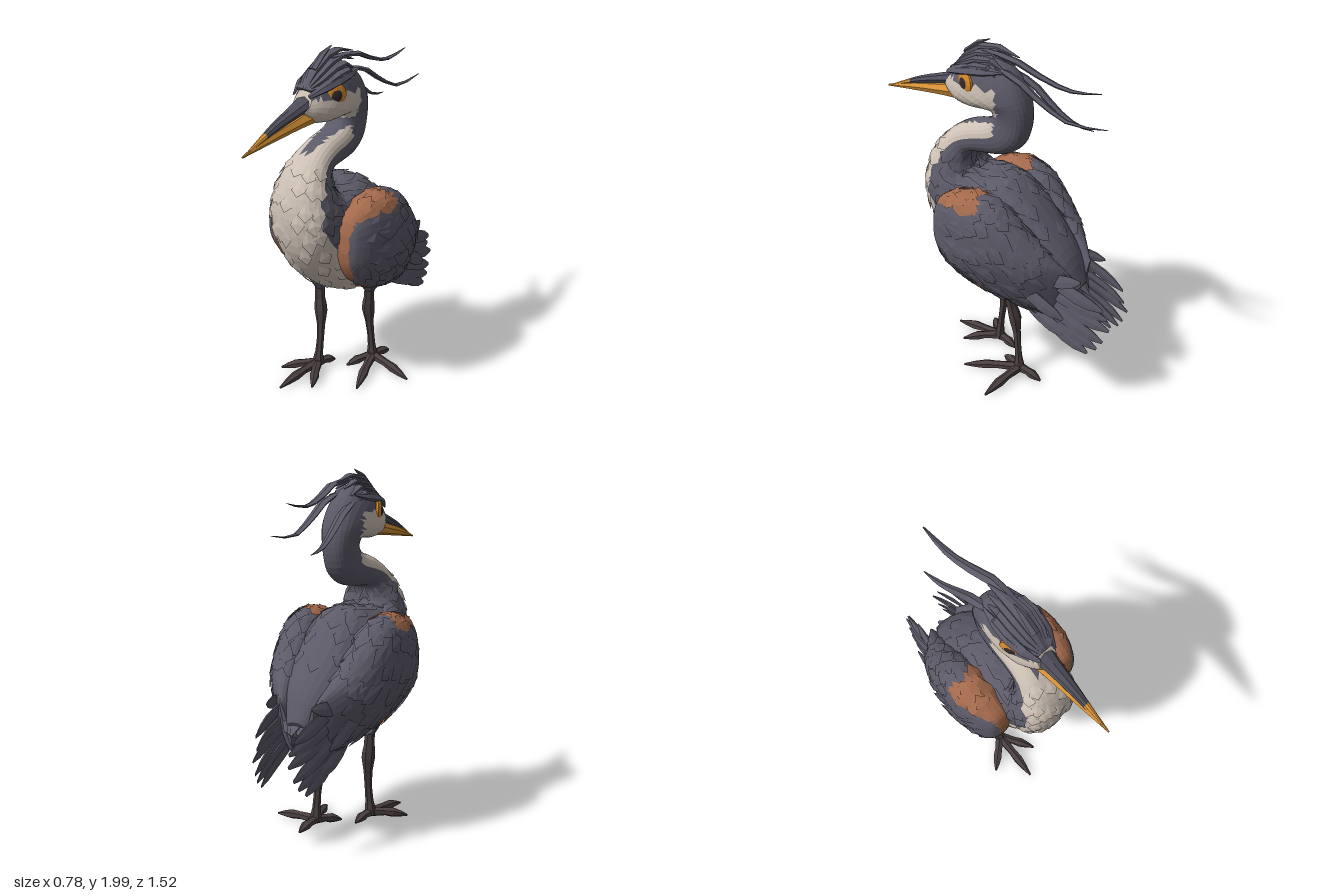
import * as THREE from 'three';

const V = (x, y, z) => new THREE.Vector3(x, y, z);
const TAU = Math.PI * 2;

const paint = (name, color) => {
  const m = new THREE.MeshStandardMaterial({ color, flatShading: true, side: THREE.DoubleSide });
  m.name = name;
  return m;
};

// Small repeatable variation in the range -1 to 1.
const vary = (i, j) => Math.sin(i * 12.9 + j * 78.2 + i * j * 3.7);

// Each part collects triangles per colour, then becomes a named group.
function tri(part, colour, ...pts) {
  (part[colour] ??= []).push(...pts.flatMap(p => [p.x, p.y, p.z]));
}

function finish(part, name, mats) {
  const group = new THREE.Group();
  group.name = name;
  for (const [colour, data] of Object.entries(part)) {
    const geo = new THREE.BufferGeometry();
    geo.setAttribute('position', new THREE.Float32BufferAttribute(data, 3));
    geo.computeVertexNormals();
    const mesh = new THREE.Mesh(geo, mats[colour]);
    mesh.name = `${name} ${colour}`;
    group.add(mesh);
  }
  return group;
}

// Closed skin over rings of points; pick(centre, cosAngle) gives the colour.
function skin(part, rings, pick) {
  const n = rings[0].length;
  const mid = pts => pts.reduce((s, p) => s.add(p), V(0, 0, 0)).divideScalar(pts.length);
  for (let i = 0; i < rings.length - 1; i++) for (let j = 0; j < n; j++) {
    const k = (j + 1) % n, a = rings[i][j], b = rings[i][k], c = rings[i + 1][k], d = rings[i + 1][j];
    const cos = Math.cos(TAU * (j + 0.5) / n);
    tri(part, pick(mid([a, b, c]), cos), a, b, c);
    tri(part, pick(mid([a, c, d]), cos), a, c, d);
  }
  const first = rings[0], last = rings[rings.length - 1], m0 = mid(first), m1 = mid(last);
  for (let j = 0; j < n; j++) {
    const k = (j + 1) % n;
    tri(part, pick(m0, 0), m0, first[k], first[j]);
    tri(part, pick(m1, 0), m1, last[j], last[k]);
  }
}

// Surface through sections [z, y of one edge, z, y of other edge, half width, centre x];
// "square" below 1 makes the cross-sections fuller than an ellipse.
function surface(sections, square = 1) {
  const f = new THREE.CatmullRomCurve3(sections.map(s => V(0, s[1], s[0])));
  const b = new THREE.CatmullRomCurve3(sections.map(s => V(0, s[3], s[2])));
  const w = new THREE.CatmullRomCurve3(sections.map((s, i) => V(s[4], s[5] ?? 0, i)));
  const full = v => Math.sign(v) * Math.abs(v) ** square;
  return (u, a) => {
    const t = Math.min(1, Math.max(0, u)), p = f.getPoint(t), q = b.getPoint(t), r = w.getPoint(t);
    const c = p.clone().add(q).multiplyScalar(0.5);
    c.addScaledVector(p.sub(q), full(Math.cos(a)) / 2);
    c.x = r.y + r.x * full(Math.sin(a));
    return c;
  };
}

function loft(part, S, nu, na, pick) {
  const rings = [];
  for (let i = 0; i <= nu; i++)
    rings.push(Array.from({ length: na }, (_, j) => S(i / nu, TAU * j / na)));
  skin(part, rings, pick);
}

// Tapered limb or, with a small "flat", a thin blade whose face points along "face".
function sweep(part, colour, pts, radii, n, flat, face) {
  const curve = new THREE.CatmullRomCurve3(pts.map(p => V(...p)));
  const rings = radii.map((r, i) => {
    const u = i / (radii.length - 1), p = curve.getPoint(u), t = curve.getTangent(u);
    const side = t.clone().cross(face).normalize(), up = side.clone().cross(t);
    return Array.from({ length: n }, (_, j) => p.clone()
      .addScaledVector(up, r * flat * Math.cos(TAU * j / n))
      .addScaledVector(side, r * Math.sin(TAU * j / n)));
  });
  skin(part, rings, () => colour);
}

// Small kite-shaped feather lying on a surface, pointing along sign * u.
function feather(part, S, u, a, len, wid, sign, pick) {
  const e = 0.004, p = S(u, a);
  const du = S(u + e, a).sub(S(u - e, a)).divideScalar(2 * e);
  const s = S(u, a + e).sub(S(u, a - e)).normalize();
  const n = s.clone().cross(du).normalize(), step = sign * len / Math.max(du.length(), 0.3);
  const at = (k, lift, across) => S(u + step * k, a).addScaledVector(n, lift).addScaledVector(s, across * wid / 2);
  const tip = at(1, 0.012, 0), m = at(0.5, 0.008, 0), l = at(0.6, 0.003, -1), r = at(0.6, 0.003, 1);
  const colour = pick(m, Math.cos(a));
  tri(part, colour, p, r, m);
  tri(part, colour, r, tip, m);
  tri(part, colour, tip, l, m);
  tri(part, colour, l, p, m);
}

export function createModel() {
  const mats = {
    slate: paint('slate plumage', 0x5c5a68), cream: paint('cream plumage', 0xcdc0b4),
    rust: paint('rust shoulder', 0xa3694c), orange: paint('orange beak', 0xdb9538),
    iris: paint('amber iris', 0xd6882c), pupil: paint('dark pupil', 0x33292a),
    leg: paint('brown leg', 0x4a3f40), ridge: paint('dark beak ridge', 0x4e4d5a),
  };
  const model = new THREE.Group();
  model.name = 'wadingBird';
  const Y = V(0, 1, 0), Z = V(0, 0, 1);

  // Body, S-shaped neck and head: belly/front edge, back edge, half width
  const bodyS0 = surface([
    [-.49, .60, -.54, .70, .06], [-.38, .57, -.47, .86, .14], [-.15, .57, -.36, 1.0, .21],
    [.05, .58, -.23, 1.14, .235], [.20, .66, -.11, 1.235, .23], [.32, .78, -.01, 1.255, .21],
    [.41, .93, .09, 1.245, .20], [.445, 1.10, .15, 1.24, .19], [.435, 1.22, .165, 1.27, .17],
    [.39, 1.34, .17, 1.31, .142], [.30, 1.45, .15, 1.345, .115], [.19, 1.515, .06, 1.355, .10],
    [.09, 1.545, -.05, 1.375, .095], [.05, 1.57, -.14, 1.44, .092], [.035, 1.60, -.18, 1.55, .09],
    [.05, 1.625, -.18, 1.65, .10], [.11, 1.62, -.15, 1.75, .12], [.18, 1.615, -.09, 1.84, .135],
    [.26, 1.63, .02, 1.91, .132], [.31, 1.66, .16, 1.89, .10], [.34, 1.69, .27, 1.81, .062]], .84);
  const bodyS = (u, a) => {
    const p = bodyS0(u, a);
    p.x *= 1 - Math.max(0, p.y - 1.68) * 1.3; // crown narrower than cheeks
    return p;
  };
  const bodyPick = (c, k) => {
    if (c.y > 1.6) return c.y < 1.765 && c.z > -.03 ? 'cream' : 'slate';
    if (c.y > 1.46 && Math.abs(c.x) < .038 + Math.max(0, c.y - 1.52) * .8 && k > 0) return 'slate';
    return c.z > 0 && k > (c.y > 1.3 ? .2 : .32) ? 'cream' : 'slate';
  };
  const body = {};
  loft(body, bodyS, 60, 26, bodyPick);
  for (let i = 0; i < 11; i++) for (let j = 0; j < 12; j++)
    feather(body, bodyS, .12 + i * .037 + vary(i, j) * .01, TAU * (j + (i % 2) / 2 + vary(j, i) * .15) / 12,
      .115 + vary(i + 3, j) * .025, .085, -1, bodyPick);
  // Tail fan
  for (let i = -2; i <= 2; i++)
    sweep(body, 'slate', [[i * .03, .79, -.38], [i * .032, .71, -.49], [i * .03, .64, -.575 + Math.abs(i) * .02]],
      [.03, .042, .036, .01], 6, .25, Y);
  model.add(finish(body, 'body', mats));

  // Folded wing: upper edge, lower edge, half width, centre x
  const wingBase = surface([
    [.26, 1.05, .265, .94, .035, .24], [.23, 1.14, .25, .86, .075, .24], [.14, 1.20, .20, .77, .105, .25],
    [0, 1.225, .10, .68, .128, .25], [-.14, 1.185, -.05, .61, .135, .24], [-.25, 1.08, -.20, .56, .125, .222],
    [-.36, .96, -.34, .52, .10, .19], [-.45, .87, -.44, .50, .06, .155], [-.52, .79, -.50, .57, .012, .125]], .8);
  const wingS = (u, a) => {
    const p = wingBase(u, a);
    p.x -= Math.max(0, .88 - p.y) * .24; // lower edge tucks inward
    return p;
  };
  const wingPick = c => {
    const inside = c.x < .27 + Math.max(0, c.y - 1.05) * .35;
    const shoulder = c.y > 1.115 + (.25 - c.z) * .28;
    const underside = c.y < .58 && c.z < -.1 && c.z > -.42 && c.x < .13;
    return (c.z > -.025 && (inside || shoulder)) || underside ? 'rust' : 'slate';
  };
  const wing = {};
  loft(wing, wingS, 30, 24, wingPick);
  for (let i = 0; i < 9; i++) for (let j = 0; j < 8; j++)
    feather(wing, wingS, .17 + i * .068 + vary(i, j) * .015, -.3 + (j + (i % 2) / 2 + vary(j, i) * .15) * .43,
      .15 + vary(i + 5, j) * .03, .095, 1, wingPick);
  // Long flight feathers: root and tip
  [[[.17, .76, -.34], [.14, .80, -.59]], [[.15, .78, -.38], [.12, .65, -.72]],
    [[.15, .70, -.38], [.10, .59, -.74]], [[.14, .66, -.38], [.11, .53, -.76]],
    [[.15, .61, -.36], [.12, .45, -.73]], [[.14, .57, -.36], [.13, .40, -.70]],
    [[.14, .55, -.32], [.14, .36, -.65]], [[.15, .56, -.26], [.15, .43, -.55]],
    [[.24, .74, -.26], [.21, .58, -.53]]].forEach(([r, t]) => {
    const m = r.map((v, k) => v * .4 + t[k] * .6 + (k === 0 ? .012 : 0));
    sweep(wing, 'slate', [r, m, t], [.025, .04, .044, .036, .01], 6, .2, V(1, .25, 0));
  });
  const leftWing = finish(wing, 'wing', mats);
  const rightWing = leftWing.clone();
  rightWing.scale.x = -1;
  model.add(leftWing, rightWing);

  // Beak: pale wedge below, dark ridge above with a pale tip
  const beak = {};
  loft(beak, surface([[.24, 1.62, .28, 1.73, .066], [.36, 1.615, .36, 1.70, .05],
    [.55, 1.598, .55, 1.655, .03], [.757, 1.578, .757, 1.588, .004]]), 9, 8, () => 'orange');
  loft(beak, surface([[.28, 1.70, .25, 1.79, .062], [.36, 1.685, .35, 1.752, .046],
    [.53, 1.645, .53, 1.69, .026], [.72, 1.588, .72, 1.60, .006]]), 9, 8,
  c => c.z > .61 ? 'orange' : 'ridge');
  model.add(finish(beak, 'beak', mats));

  // Eyes set under overhanging brows
  for (const s of [1, -1]) {
    const eye = new THREE.Group();
    eye.name = 'eye';
    [['iris', .064, 0, .34], ['pupil', .036, .012, .38]].forEach(([colour, r, out, flat]) => {
      const mesh = new THREE.Mesh(new THREE.SphereGeometry(r, 10, 8), mats[colour]);
      mesh.name = colour;
      mesh.scale.x = flat;
      mesh.position.x = s * out;
      eye.add(mesh);
    });
    eye.position.set(s * .1, 1.768, .16);
    eye.rotation.y = -s * .4;
    model.add(eye);
    const brow = {};
    sweep(brow, 'slate', [[s * .05, 1.785, .31], [s * .092, 1.832, .2], [s * .095, 1.85, .08], [s * .08, 1.86, -.06]],
      [.012, .028, .034, .03, .006], 6, .5, V(s, 1, 0));
    model.add(finish(brow, 'brow', mats));
  }

  // Crown feathers and three trailing plumes
  const crest = {};
  for (let i = -3; i <= 3; i++) {
    const x = i * .022, drop = Math.abs(i) * .028;
    sweep(crest, 'slate', [[x * .5, 1.81, .29], [x * 1.1, 1.92 - drop, .18], [x * 1.2, 1.965 - drop, .06],
      [x * 1.2, 1.93 - drop * 1.3, -.11 + drop]], [.015, .032, .036, .028, .005], 6, .45, Y);
  }
  sweep(crest, 'slate', [[0, 1.9, .22], [0, 1.965, .14], [0, 1.995, .07]], [.025, .02, .004], 5, .6, Y);
  for (const path of [
    [[.02, 1.94, .10], [.03, 1.925, -.09], [.01, 1.84, -.30], [0, 1.815, -.44], [0, 1.84, -.59]],
    [[.05, 1.87, 0], [.06, 1.83, -.14], [.06, 1.735, -.29], [.055, 1.665, -.45], [.05, 1.68, -.66]],
    [[-.06, 1.83, -.03], [-.065, 1.77, -.16], [-.07, 1.665, -.29], [-.08, 1.60, -.40], [-.09, 1.58, -.51]]])
    sweep(crest, 'slate', path, [.016, .028, .03, .027, .022, .018, .012, .003], 5, .45, Y);
  model.add(finish(crest, 'crest', mats));

  // Legs in mid-stride with feathered thighs, and four toes per foot
  const legs = [
    { name: 'leftLeg', pts: [[.125, .60, -.12], [.105, .46, -.14], [.09, .37, -.155], [.095, .2, -.175], [.10, .035, -.19]],
      toes: [[.39, -.14], [.22, .12], [.02, -.04], [.11, -.34]] },
    { name: 'rightLeg', pts: [[-.125, .60, .03], [-.12, .46, .035], [-.11, .38, .04], [-.10, .2, .06], [-.105, .035, .08]],
      toes: [[-.13, .39], [-.27, .22], [.01, .27], [-.08, -.05]] }];
  for (const { name, pts, toes } of legs) {
    const leg = {}, [x, y, z] = pts[4], [tx, , tz] = pts[0];
    sweep(leg, 'leg', pts, [.034, .029, .030, .036, .038, .025, .021, .023, .036], 6, 1, Z);
    sweep(leg, 'slate', [[tx, .70, tz], [tx, .60, tz], [pts[1][0] * .5 + tx * .5, .53, tz - .005]],
      [.08, .075, .06, .035], 7, 1, Z);
    for (const [ex, ez] of toes)
      sweep(leg, 'leg', [[x, y + .01, z], [x * .5 + ex * .5, .038, z * .5 + ez * .5], [ex, .012, ez]],
        [.03, .027, .024, .029, .02, .006], 6, .95, Y);
    model.add(finish(leg, name, mats));
  }
  return model;
}
